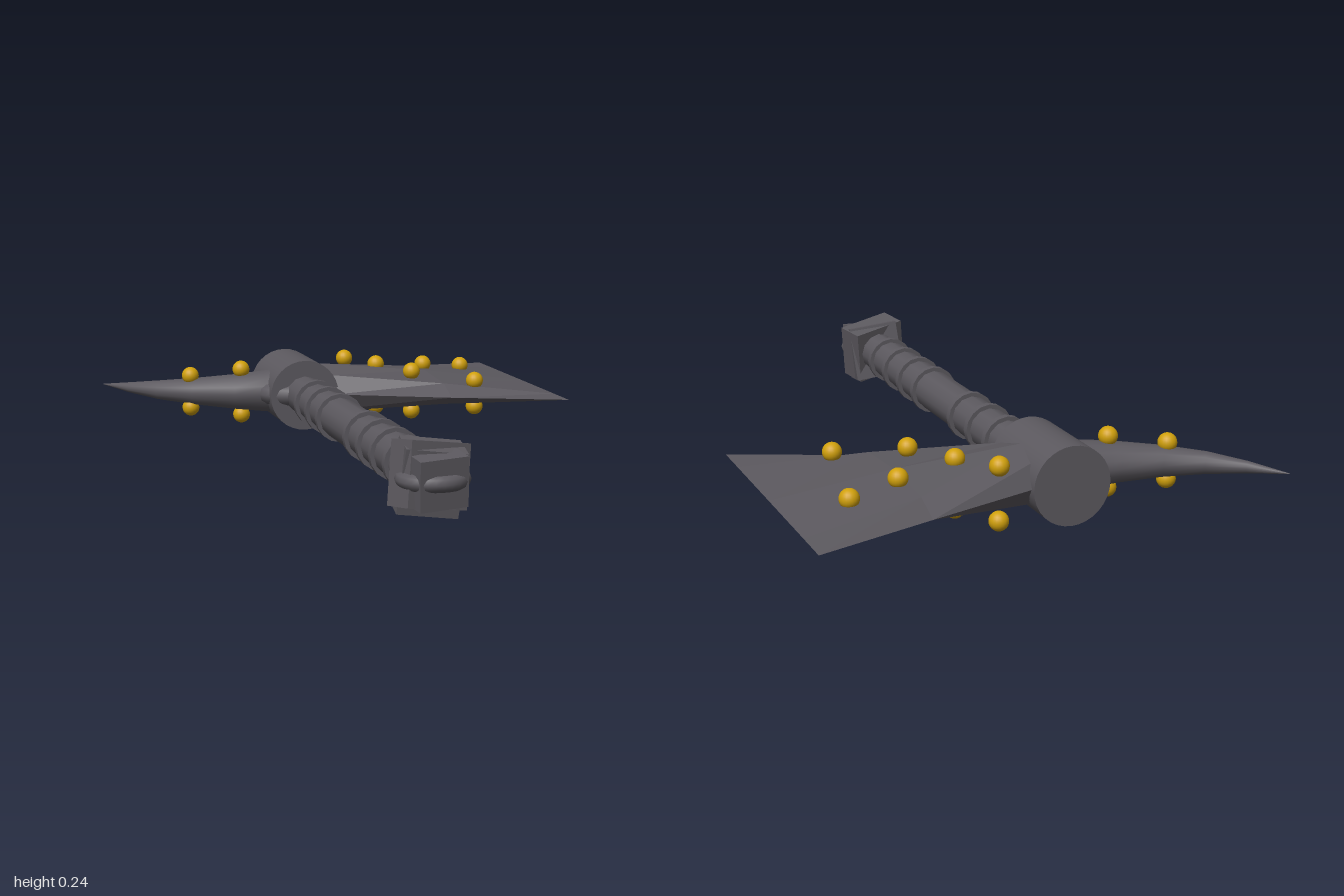
import * as THREE from 'three';

const iron = new THREE.MeshStandardMaterial({ color: 0x5c595f });
iron.name = 'darkIron';
const gold = new THREE.MeshStandardMaterial({ color: 0xd0a00c });
gold.name = 'gold';

const AX = -0.1, AY = 0.12; // axis of the haft

// Skin through rings; each section is [x, z, halfHeight, halfWidth, travelX, travelZ]
function loft(sections, sides, flat) {
  const pos = [], idx = [];
  for (const [x, z, h, w, tx, tz] of sections) {
    const l = Math.hypot(tx, tz);
    for (let j = 0; j < sides; j++) {
      const a = (j / sides) * Math.PI * 2, s = Math.sin(a) * w;
      pos.push(x - (tz / l) * s, AY + h * Math.cos(a), z + (tx / l) * s);
    }
  }
  for (let i = 0; i < sections.length - 1; i++) {
    for (let j = 0; j < sides; j++) {
      const k = (j + 1) % sides, a = i * sides, b = a + sides;
      idx.push(a + j, a + k, b + j, a + k, b + k, b + j);
    }
  }
  let g = new THREE.BufferGeometry();
  g.setAttribute('position', new THREE.Float32BufferAttribute(pos, 3));
  g.setIndex(idx);
  if (flat) g = g.toNonIndexed();
  g.computeVertexNormals();
  return g;
}

export function createModel() {
  const group = new THREE.Group();
  const add = (name, geometry, x = 0, y = 0, z = 0, material = iron) => {
    const m = new THREE.Mesh(geometry, material);
    m.name = name;
    m.position.set(x, y, z);
    group.add(m);
    return m;
  };
  // Cylinder lying along z
  const rod = (name, r, z0, z1, sides) =>
    add(name, new THREE.CylinderGeometry(r, r, z1 - z0, sides).rotateX(Math.PI / 2), AX, AY, (z0 + z1) / 2);

  // Haft with its bands, and the head socket
  rod('haft', 0.065, -0.5, 0.86, 12);
  for (const z of [-0.31, -0.175, -0.035, 0.285, 0.42, 0.555, 0.69]) {
    rod('haftBand', 0.077, z - 0.011, z + 0.011, 16);
  }
  rod('socket', 0.118, -0.765, -0.467, 32);
  add('socketRing', new THREE.TorusGeometry(0.12, 0.035, 10, 32).rotateX(Math.PI / 2), AX, AY, -0.585);

  // Wedge blade narrowing to a knife edge
  add('blade', loft([
    [-0.06, -0.6, 0.088, 0.12, 1, 0],
    [0, -0.6, 0.085, 0.145, 1, 0],
    [0.36, -0.575, 0.05, 0.295, 1, 0],
    [0.72, -0.565, 0.0005, 0.435, 1, 0],
  ], 8, true));

  // Curved back spike
  add('spike', loft([
    [-0.12, -0.595, 0.08, 0.085, -1, 0],
    [-0.22, -0.6, 0.07, 0.08, -1, -0.05],
    [-0.31, -0.615, 0.06, 0.072, -1, -0.2],
    [-0.44, -0.66, 0.046, 0.052, -1, -0.45],
    [-0.55, -0.722, 0.033, 0.036, -1, -0.7],
    [-0.64, -0.803, 0.018, 0.018, -1, -1],
    [-0.72, -0.9, 0.001, 0.001, -0.8, -1],
  ], 16, false));

  // Gold studs above and below blade and spike: x, z, distance from middle
  const studs = [
    [0.115, -0.745, 0.08], [0.195, -0.62, 0.074], [0.275, -0.46, 0.068],
    [0.385, -0.675, 0.058], [0.465, -0.35, 0.044], [0.545, -0.73, 0.038],
    [-0.455, -0.66, 0.055], [-0.29, -0.605, 0.078],
  ];
  const studGeometry = new THREE.SphereGeometry(0.029, 20, 14);
  for (const [x, z, d] of studs) {
    for (const s of [1, -1]) add('stud', studGeometry, x, AY + s * d, z, gold);
  }

  // Pommel of tilted blocks with a rounded hoop
  add('pommelBlock', new THREE.BoxGeometry(0.19, 0.18, 0.1), AX, AY + 0.003, 0.865).rotation.set(-0.12, 0.28, -0.12);
  add('pommelBlock', new THREE.BoxGeometry(0.17, 0.185, 0.11), AX, AY - 0.005, 0.86).rotation.set(0.16, -0.12, -0.1);
  add('pommelCap', new THREE.BoxGeometry(0.14, 0.14, 0.12), AX, AY + 0.003, 0.915).rotation.set(0.1, 0.12, 0.03);
  add('pommelHoop', new THREE.TorusGeometry(0.08, 0.023, 10, 28).rotateX(Math.PI / 2), AX, AY, 0.895);

  return group;
}
